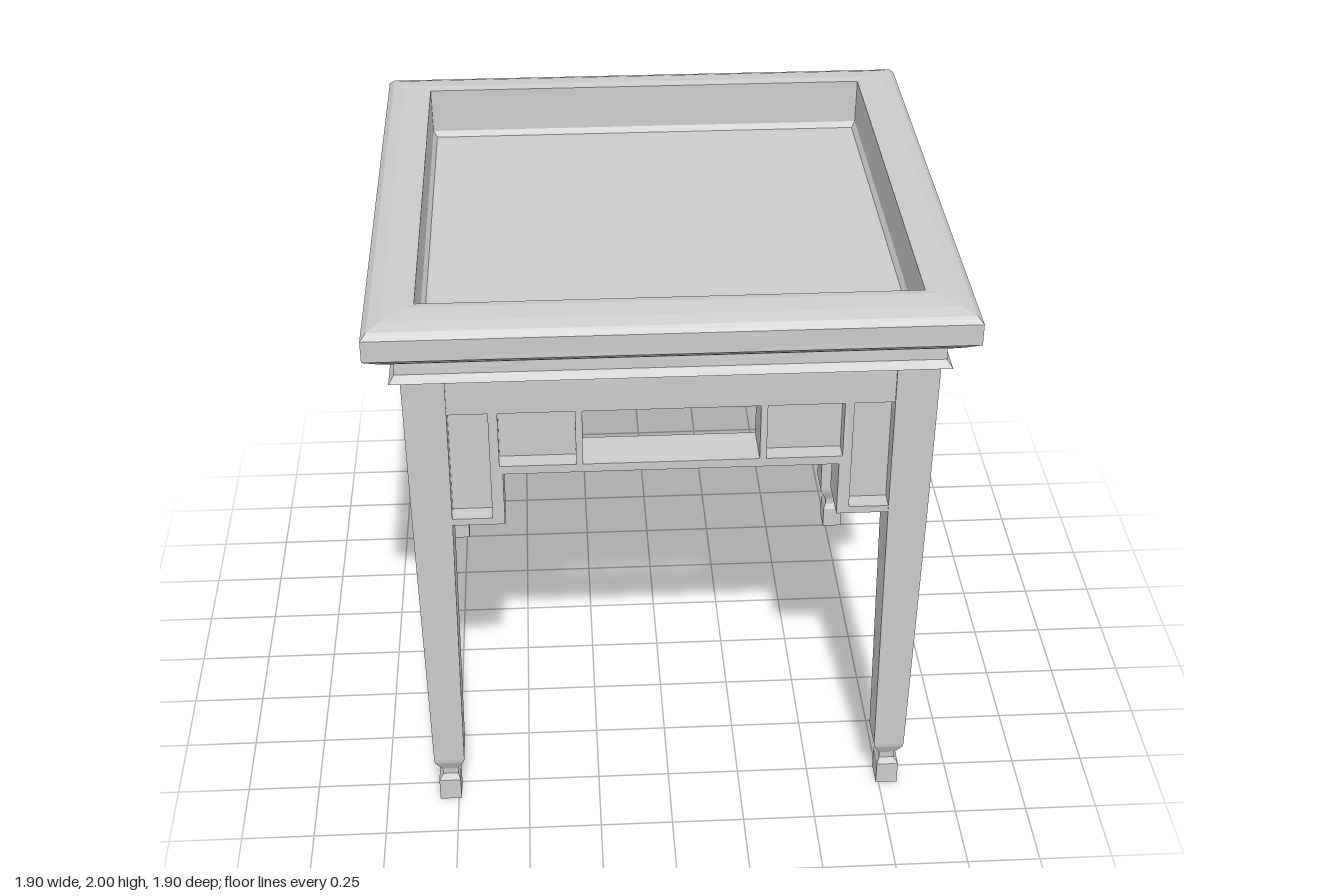
import * as THREE from 'three';

const material = new THREE.MeshStandardMaterial({ color: 0xcccccc, flatShading: true });

function addMesh(parent, geometry, name) {
  const mesh = new THREE.Mesh(geometry, material);
  mesh.name = name;
  parent.add(mesh);
  return mesh;
}

// Square "lathe": profile of [half width, y], listed from the underside round to the top
function squareLathe(profile) {
  const points = profile.map(([r, y]) => new THREE.Vector2(r * Math.SQRT2, y));
  return new THREE.LatheGeometry(points, 4, Math.PI / 4);
}

// Leg cross-sections: y, inner x, outer x, inner z, outer z
const legSections = [
  [0, 0.74, 0.815, 0.745, 0.835],
  [0.085, 0.74, 0.815, 0.745, 0.835],
  [0.105, 0.748, 0.8, 0.757, 0.82],
  [0.13, 0.747, 0.802, 0.755, 0.822],
  [0.175, 0.727, 0.825, 0.735, 0.845],
  [0.19, 0.722, 0.827, 0.732, 0.847],
  [1.2, 0.71, 0.84, 0.708, 0.861],
  [1.765, 0.708, 0.845, 0.706, 0.866],
];

function legGeometry(sx, sz) {
  const positions = [];
  const indices = [];
  for (const [y, xi, xo, zi, zo] of legSections) {
    const [x0, x1] = sx > 0 ? [xi, xo] : [-xo, -xi];
    const [z0, z1] = sz > 0 ? [zi, zo] : [-zo, -zi];
    positions.push(x0, y, z1, x1, y, z1, x1, y, z0, x0, y, z0);
  }
  const last = (legSections.length - 1) * 4;
  for (let base = 0; base < last; base += 4) {
    for (let k = 0; k < 4; k++) {
      const a = base + k;
      const b = base + ((k + 1) % 4);
      indices.push(a, b, b + 4, a, b + 4, a + 4);
    }
  }
  indices.push(0, 2, 1, 0, 3, 2, last, last + 1, last + 2, last, last + 2, last + 3);
  const geometry = new THREE.BufferGeometry();
  geometry.setAttribute('position', new THREE.Float32BufferAttribute(positions, 3));
  geometry.setIndex(indices);
  geometry.computeVertexNormals();
  return geometry;
}

// Stepped apron outline with rectangular holes [x0, x1, y0, y1]
function apronLayer(holes, depth) {
  const half = [[0.54, 1.4], [0.54, 1.205], [0.72, 1.205], [0.72, 1.765]];
  const outline = [...half, ...half.map(([x, y]) => [-x, y]).reverse()];
  const shape = new THREE.Shape(outline.map(([x, y]) => new THREE.Vector2(x, y)));
  for (const [x0, x1, y0, y1] of holes) {
    shape.holes.push(new THREE.Path([
      new THREE.Vector2(x0, y0), new THREE.Vector2(x0, y1),
      new THREE.Vector2(x1, y1), new THREE.Vector2(x1, y0),
    ]));
  }
  return new THREE.ExtrudeGeometry(shape, { depth, bevelEnabled: false });
}

// Apron: a pierced front frame over a backing with only the middle opening
function createApron(name, face, thickness) {
  const apron = new THREE.Group();
  apron.name = name;
  const opening = [-0.283, 0.283, 1.43, 1.63];
  const recesses = [[0.305, 0.55, 1.43, 1.63], [0.58, 0.714, 1.23, 1.63]];
  const mirrored = recesses.map(([a, b, c, d]) => [-b, -a, c, d]);
  const frameDepth = 0.06;
  addMesh(apron, apronLayer([opening, ...recesses, ...mirrored], frameDepth), 'apronFrame')
    .position.z = face - frameDepth;
  addMesh(apron, apronLayer([opening], thickness - frameDepth), 'apronBacking')
    .position.z = face - thickness;
  return apron;
}

export function createModel() {
  const table = new THREE.Group();
  table.name = 'sideTable';

  // Tray top: underside, lip, cove, rounded rim, recessed floor
  addMesh(table, squareLathe([
    [0, 1.76], [0.88, 1.76], [0.862, 1.785], [0.86, 1.83], [0.88, 1.835],
    [0.91, 1.855], [0.95, 1.885], [0.95, 1.958], [0.93, 1.978], [0.89, 1.992],
    [0.82, 2], [0.79, 1.995], [0.788, 1.835], [0.775, 1.815], [0, 1.815],
  ]), 'trayTop');

  // Tapered legs with necked feet
  for (const sx of [1, -1]) {
    for (const sz of [1, -1]) {
      const name = (sz > 0 ? 'front' : 'back') + (sx > 0 ? 'Left' : 'Right') + 'Leg';
      addMesh(table, legGeometry(sx, sz), name);
    }
  }

  // Fretwork aprons between the legs
  ['frontApron', 'leftApron', 'backApron', 'rightApron'].forEach((name, i) => {
    const apron = createApron(name, i % 2 ? 0.838 : 0.859, 0.155);
    apron.rotation.y = (i * Math.PI) / 2;
    table.add(apron);
  });

  return table;
}
